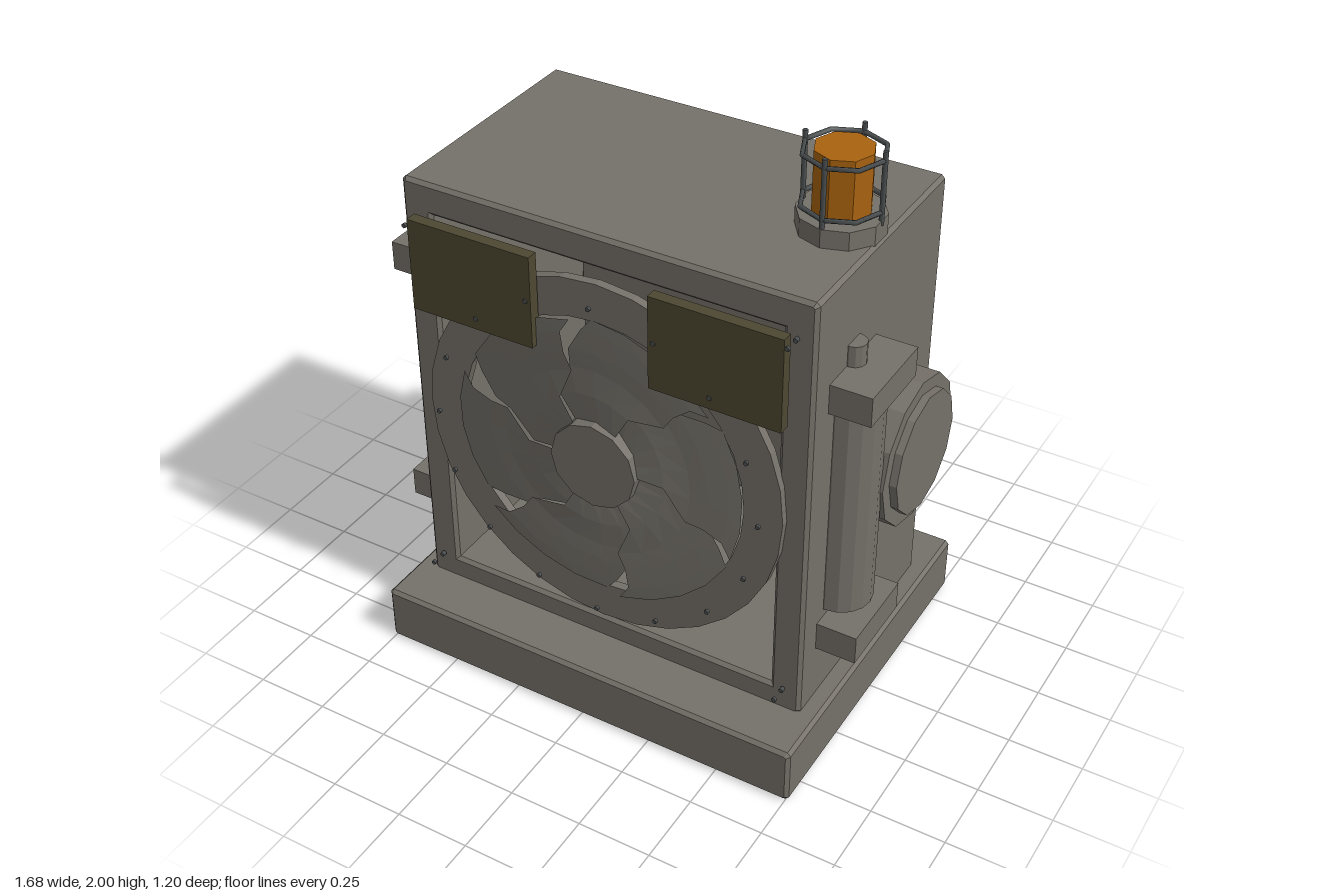
import * as THREE from 'three';

const material = (name, color, extra = {}) => {
  const m = new THREE.MeshStandardMaterial({ color, ...extra });
  m.name = name;
  return m;
};

export function createModel() {
  const model = new THREE.Group();
  model.name = 'fanUnit';
  const grey = material('paintedGrey', 0x75716a, { flatShading: true, side: THREE.DoubleSide });
  const olive = material('olivePlate', 0x4d4831);
  const amber = material('amberLens', 0xa8620f, { flatShading: true });
  const steel = material('darkSteel', 0x4b4f50);
  const CY = 0.945; // height of the fan axis

  const add = (name, geo, mat, x = 0, y = 0, z = 0, parent = model) => {
    const mesh = new THREE.Mesh(geo, mat);
    mesh.name = name;
    mesh.position.set(x, y, z);
    parent.add(mesh);
    return mesh;
  };
  const box = (name, w, h, d, mat, x, y, z) => add(name, new THREE.BoxGeometry(w, h, d), mat, x, y, z);
  const cyl = (name, r, h, n, mat, x, y, z) => add(name, new THREE.CylinderGeometry(r, r, h, n), mat, x, y, z);
  const discZ = (name, r, z0, z1, n, mat, x = 0, y = CY) => {
    const m = cyl(name, r, z1 - z0, n, mat, x, y, (z0 + z1) / 2);
    m.rotation.x = Math.PI / 2;
    return m;
  };

  // Rectangle with cut corners
  const chamferRect = (x, y0, y1, c) => new THREE.Shape([
    [-x + c, y0], [x - c, y0], [x, y0 + c], [x, y1 - c],
    [x - c, y1], [-x + c, y1], [-x, y1 - c], [-x, y0 + c],
  ].map(p => new THREE.Vector2(...p)));
  const bevelled = (shape, depth, b) => new THREE.ExtrudeGeometry(shape, {
    depth: depth - 2 * b, bevelEnabled: true, bevelSize: b, bevelThickness: b,
    bevelOffset: -b, bevelSegments: 1, curveSegments: 1,
  }).translate(0, 0, -depth / 2 + b);

  // Plinth and hollow cabinet
  add('base', bevelled(chamferRect(0.76, 0, 0.2, 0.012), 1.2, 0.012), grey);
  const frame = chamferRect(0.7, 0.19, 1.72, 0.012);
  frame.holes.push(new THREE.Path([[-0.595, 0.28], [-0.595, 1.61], [0.595, 1.61], [0.595, 0.28]]
    .map(p => new THREE.Vector2(...p))));
  add('cabinet', bevelled(frame, 0.84, 0.012), grey);

  // Rear panel, drum and small feet
  box('rearPanel', 1.16, 1.28, 0.03, grey, 0, 0.95, -0.385);
  discZ('rearDrum', 0.6, -0.5, -0.39, 20, grey);
  for (const s of [-1, 1]) box('panelFoot', 0.05, 0.04, 0.03, grey, s * 0.52, 0.295, -0.385);

  // Front ring
  const ring = new THREE.Shape().absarc(0, 0, 0.63, 0, Math.PI * 2);
  ring.holes.push(new THREE.Path().absarc(0, 0, 0.5, 0, Math.PI * 2, true));
  add('fanRing', new THREE.ExtrudeGeometry(ring, { depth: 0.03, bevelEnabled: false, curveSegments: 16 }),
    grey, 0, CY, 0.415);

  // Swept overlapping blades: [radius, leading angle, trailing angle] in degrees
  const rows = [[0.13, 0, 64], [0.24, 0, 64], [0.33, -17, 47], [0.39, -15, 45], [0.46, -16, 37], [0.505, -21, 32]];
  const cols = 4, pos = [], index = [];
  rows.forEach(([r, a0, a1], i) => {
    for (let j = 0; j <= cols; j++) {
      const t = j / cols, a = THREE.MathUtils.degToRad(a0 + (a1 - a0) * t);
      pos.push(r * Math.cos(a), r * Math.sin(a), 0.473 - 0.025 * t);
      if (i && j) {
        const d = i * (cols + 1) + j, c = d - 1, b = d - cols - 1, e = b - 1;
        index.push(e, c, d, e, d, b);
      }
    }
  });
  const blade = new THREE.BufferGeometry();
  blade.setAttribute('position', new THREE.Float32BufferAttribute(pos, 3));
  blade.setIndex(index);
  blade.computeVertexNormals();
  const fan = new THREE.Group();
  fan.name = 'fan';
  fan.position.y = CY;
  model.add(fan);
  for (let k = 0; k < 6; k++) add('fanBlade', blade, grey, 0, 0, 0, fan).rotation.z = k * Math.PI / 3;
  discZ('fanHub', 0.15, 0.43, 0.49, 12, grey);
  discZ('fanShaft', 0.05, -0.38, 0.44, 10, grey);

  // Bolts around the ring and at the frame corners
  for (let k = 0; k < 16; k++) {
    const a = k * Math.PI / 8;
    discZ('ringBolt', 0.008, 0.483, 0.493, 6, steel, 0.57 * Math.cos(a), CY + 0.57 * Math.sin(a));
  }
  for (const x of [-0.645, 0.645]) for (const y of [0.29, 1.6]) {
    discZ('cornerBolt', 0.008, 0.483, 0.493, 6, steel, x, y);
    discZ('cornerBolt', 0.008, 0.43, 0.445, 6, steel, x, y);
  }

  for (const s of [-1, 1]) {
    // Front plates
    box('frontPlate', 0.435, 0.315, 0.038, olive, s * 0.4175, 1.4675, 0.47);
    // Side cylinder, rod and brackets
    cyl('sideCylinder', 0.105, 0.76, 16, grey, s * 0.705, 0.91, 0.18);
    cyl('sideRod', 0.038, 1.14, 12, grey, s * 0.705, 0.9, 0.18);
    for (const y of [0.45, 1.35]) box('sideBracket', 0.155, 0.1, 0.3, grey, s * 0.7575, y, 0.175);
    // Stepped round port
    cyl('sidePort', 0.25, 0.125, 12, grey, s * 0.7525, CY, -0.09).rotation.z = Math.PI / 2;
    cyl('sidePortCap', 0.205, 0.15, 12, grey, s * 0.765, CY, -0.09).rotation.z = Math.PI / 2;
  }

  // Warning beacon with wire cage
  const bx = 0.565, bz = 0.02;
  cyl('beaconBase', 0.135, 0.065, 10, grey, bx, 1.7475, bz);
  cyl('beaconLens', 0.092, 0.205, 8, amber, bx, 1.8775, bz);
  for (let k = 0; k < 4; k++) {
    const a = k * Math.PI / 2;
    cyl('cagePost', 0.008, 0.235, 6, steel, bx + 0.125 * Math.cos(a), 1.8825, bz + 0.125 * Math.sin(a));
  }
  for (const y of [1.805, 1.97])
    add('cageRing', new THREE.TorusGeometry(0.125, 0.008, 5, 8), steel, bx, y, bz).rotation.x = Math.PI / 2;

  return model;
}
